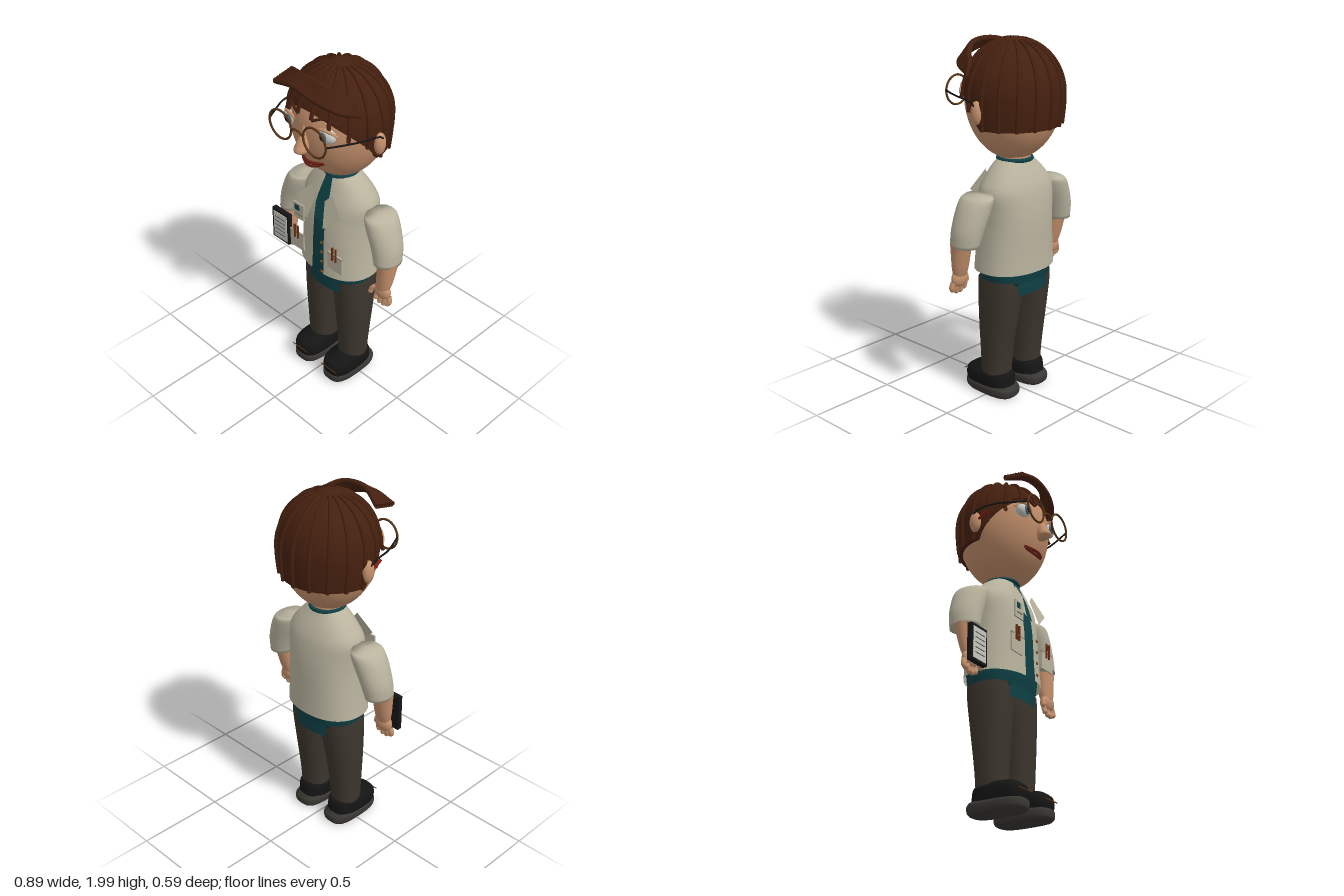
import * as THREE from 'three';
import { ParametricGeometry } from 'three/addons/geometries/ParametricGeometry.js';

const mats = {};
function mat(color) {
  return (mats[color] ??= new THREE.MeshStandardMaterial({ color, side: THREE.DoubleSide }));
}
const SKIN = 0xc4906c, HAIR = 0x45200f, COAT = 0xb9b39e, TEAL = 0x0f4146, PANTS = 0x3b352c,
  BLACK = 0x151515, SOLE = 0x3a3834, BROWN = 0x5a3516, LIP = 0x6b2018, PAPER = 0xc8c8c0;

export function createModel() {
  const model = new THREE.Group();
  const add = (name, geo, color, x = 0, y = 0, z = 0, parent = model) => {
    const m = new THREE.Mesh(geo, mat(color));
    m.name = name;
    m.position.set(x, y, z);
    parent.add(m);
    return m;
  };
  const box = (name, w, h, d, color, x, y, z) => add(name, new THREE.BoxGeometry(w, h, d), color, x, y, z);
  const ball = (name, rx, ry, rz, color, x, y, z) => {
    const m = add(name, new THREE.SphereGeometry(1, 24, 16), color, x, y, z);
    m.scale.set(rx, ry, rz);
    return m;
  };
  const tube = (name, pts, r, color, seg = 20) =>
    add(name, new THREE.TubeGeometry(new THREE.CatmullRomCurve3(pts.map(p => new THREE.Vector3(...p))), seg, r, 8), color);

  // Sections run from bottom to top: [x, y, z, radiusX, radiusZ]
  const loft = (name, sections, color, { power = 2, from = -Math.PI, to = Math.PI, caps = true } = {}) => {
    const curve = pts => new THREE.CatmullRomCurve3(pts, false, 'catmullrom', 0.5);
    const mid = curve(sections.map(s => new THREE.Vector3(s[0], s[1], s[2])));
    const rad = curve(sections.map(s => new THREE.Vector3(s[3], 0, s[4])));
    const rows = 22, round = c => Math.sign(c) * Math.abs(c) ** (2 / power);
    const c = new THREE.Vector3(), r = new THREE.Vector3();
    const geo = new ParametricGeometry((u, v, out) => {
      const row = v * rows;
      const t = caps ? THREE.MathUtils.clamp((row - 1) / (rows - 2), 0, 1) : v;
      const k = caps ? Math.max(0.01, Math.min(1, row, rows - row)) : 1;
      const a = from + (to - from) * u;
      mid.getPoint(t, c);
      rad.getPoint(t, r);
      out.set(c.x + k * r.x * round(Math.sin(a)), c.y, c.z + k * r.z * round(Math.cos(a)));
    }, 40, rows);
    return add(name, geo, color);
  };

  // Head: an egg with a longer lower half
  const headGeo = new THREE.SphereGeometry(1, 40, 32);
  const p = headGeo.attributes.position;
  for (let i = 0; i < p.count; i++) {
    const y = p.getY(i);
    p.setXYZ(i, p.getX(i) * 0.268, y * (y > 0 ? 0.28 : 0.35), p.getZ(i) * 0.257);
  }
  headGeo.computeVertexNormals();
  add('head', headGeo, SKIN, 0, 1.7, -0.03);
  add('neck', new THREE.CylinderGeometry(0.085, 0.09, 0.14, 24), SKIN, 0, 1.35, -0.04);
  const collar = add('shirtCollar', new THREE.TorusGeometry(0.09, 0.012, 8, 32), TEAL, 0, 1.355, -0.04);
  collar.rotation.x = Math.PI / 2;

  // Hair: cap cut high over the face and low at the back, with radiating strands
  const hairPoint = (a, t, lift, out) => {
    const edge = 1.54 + 0.27 * Math.max(0, Math.cos(a)) ** 0.85 - 1.7;
    const end = Math.acos(edge / (edge > 0 ? 0.29 : 0.55));
    const th = end * t, cy = Math.cos(th), r = (0.273 + lift) * Math.sin(th);
    return out.set(r * Math.sin(a), 1.7 + cy * ((cy > 0 ? 0.288 : 0.55) + lift), -0.03 + 0.955 * r * Math.cos(a));
  };
  add('hairCap', new ParametricGeometry((u, v, out) => {
    const a = (u * 2 - 1) * Math.PI, t = 1 - v;
    hairPoint(a, Math.min(1, 0.005 + t * 1.04), 0, out);
    if (t > 0.975) { out.x *= 0.92; out.z = -0.03 + (out.z + 0.03) * 0.92; }
  }, 60, 30), HAIR);
  for (let i = 0; i < 17; i++) {
    const a = ((i + 0.5) / 17) * Math.PI * 2, pts = [];
    for (let j = 0; j <= 8; j++) {
      const t = 0.13 + 0.87 * j / 8;
      pts.push(hairPoint(a + 0.12 * (1 - t), t, 0.003, new THREE.Vector3()).toArray());
    }
    if (Math.cos(a) > 0.3) { // loose tips over the forehead
      const e = pts[8];
      pts.push([e[0] * 1.02, e[1] - 0.03 - 0.02 * (i % 2), e[2] + 0.008]);
    }
    tube('hairStrand', pts, 0.011, HAIR, 28);
  }
  add('crown', new THREE.SphereGeometry(0.066, 24, 8), HAIR, 0, 1.98, -0.03).scale.y = 0.3;

  // Swept forelock
  for (let i = 0; i < 7; i++) {
    const k = i / 6;
    tube('forelock', [
      [0.235 - 0.02 * k, 1.82 + 0.05 * k, 0.07 + 0.01 * k],
      [0.2 - 0.03 * k, 1.86 + 0.06 * k, 0.17 - 0.04 * k],
      [0.09, 1.9 + 0.06 * k, 0.225 - 0.05 * k],
      [-0.06, 1.93 + 0.035 * k, 0.235 - 0.06 * k],
      [-0.2, 1.9 + 0.02 * k, 0.225 - 0.11 * k],
    ], 0.016, HAIR, 28);
  }

  // Nose and mouth
  loft('nose', [[0, 1.575, 0.235, 0.022, 0.03], [0, 1.595, 0.245, 0.037, 0.042], [0, 1.63, 0.235, 0.031, 0.036],
    [0, 1.68, 0.22, 0.018, 0.024], [0, 1.73, 0.212, 0.012, 0.015]], SKIN);
  tube('upperLip', [[-0.085, 1.515, 0.165], [-0.04, 1.505, 0.19], [0, 1.503, 0.198], [0.04, 1.505, 0.19], [0.085, 1.515, 0.165]], 0.008, LIP);
  tube('lowerLip', [[-0.08, 1.51, 0.165], [-0.04, 1.487, 0.188], [0, 1.48, 0.196], [0.04, 1.487, 0.188], [0.08, 1.51, 0.165]], 0.008, LIP);

  for (const s of [-1, 1]) {
    // Face
    ball('ear', 0.028, 0.062, 0.034, SKIN, s * 0.28, 1.635, -0.03);
    ball('eye', 0.055, 0.042, 0.034, 0xc9c9c4, s * 0.128, 1.708, 0.186);
    ball('iris', 0.026, 0.026, 0.012, 0x4a6672, s * 0.126, 1.708, 0.213);
    ball('pupil', 0.014, 0.014, 0.008, 0x101010, s * 0.126, 1.708, 0.222);
    tube('eyelid', [[s * 0.07, 1.712, 0.207], [s * 0.1, 1.742, 0.213], [s * 0.15, 1.744, 0.203], [s * 0.188, 1.715, 0.172]], 0.008, SKIN);
    tube('eyebrow', [[s * 0.05, 1.77, 0.217], [s * 0.11, 1.797, 0.198], [s * 0.185, 1.77, 0.15]], 0.007, HAIR);

    // Glasses
    add('glassesRim', new THREE.TorusGeometry(0.08, 0.006, 8, 40), BROWN, s * 0.123, 1.7, 0.27);
    tube('glassesArm', [[s * 0.203, 1.705, 0.268], [s * 0.245, 1.705, 0.19], [s * 0.285, 1.705, 0.1], [s * 0.3, 1.69, -0.01], [s * 0.295, 1.65, -0.05]], 0.005, BLACK);

    // Arm
    loft('sleeve', [[s * 0.37, 0.94, -0.022, 0.07, 0.085], [s * 0.352, 1.03, -0.03, 0.082, 0.093],
      [s * 0.315, 1.13, -0.036, 0.086, 0.1], [s * 0.292, 1.185, -0.04, 0.077, 0.098], [s * 0.28, 1.205, -0.04, 0.06, 0.08]], COAT);
    loft('forearm', [[s * 0.373, 0.775, 0.013, 0.042, 0.032], [s * 0.377, 0.83, 0.005, 0.05, 0.042], [s * 0.383, 0.95, -0.01, 0.058, 0.058]], SKIN);
    ball('palm', 0.055, 0.05, 0.032, SKIN, s * 0.373, 0.755, 0.015);
    for (let i = 0; i < 4; i++) {
      const x = 0.335 + 0.028 * i, drop = 0.675 + 0.012 * (Math.abs(i - 1.4) > 1 ? 1 : 0);
      tube('finger', [[s * x, 0.74, 0.015], [s * (x + 0.003 * i), 0.705, 0.02], [s * x, drop + 0.008, 0.024]], 0.015, SKIN, 8);
      ball('fingertip', 0.015, 0.015, 0.015, SKIN, s * x, drop + 0.008, 0.024);
    }
    tube('thumb', [[s * 0.34, 0.765, 0.02], [s * 0.315, 0.755, 0.03], [s * 0.303, 0.725, 0.035]], 0.014, SKIN, 8);
    ball('thumbTip', 0.014, 0.014, 0.014, SKIN, s * 0.303, 0.725, 0.035);

    // Leg and shoe
    loft('trouserLeg', [[s * 0.122, 0.12, -0.015, 0.08, 0.08], [s * 0.122, 0.25, -0.018, 0.085, 0.088],
      [s * 0.118, 0.45, -0.026, 0.097, 0.108], [s * 0.112, 0.62, -0.035, 0.107, 0.124], [s * 0.112, 0.7, -0.038, 0.105, 0.126]], PANTS, { power: 2.3 });
    const shoe = { power: 3 };
    loft('sole', [[s * 0.12, 0.005, 0.018, 0.078, 0.155], [s * 0.12, 0.02, 0.018, 0.088, 0.166],
      [s * 0.12, 0.05, 0.018, 0.09, 0.168], [s * 0.12, 0.068, 0.018, 0.08, 0.158]], SOLE, shoe);
    loft('shoeUpper', [[s * 0.12, 0.06, 0.03, 0.085, 0.15], [s * 0.12, 0.095, 0.034, 0.088, 0.15],
      [s * 0.12, 0.13, 0.032, 0.086, 0.142], [s * 0.12, 0.152, 0.028, 0.072, 0.118]], BLACK, shoe);
    box('shoeStitch', 0.12, 0.004, 0.004, BROWN, s * 0.12, 0.105, 0.185);

    // Lapel lying on the sloped chest
    const lapel = new THREE.Shape([[0.08, 1.28], [0.035, 1.23], [0.062, 1.085], [0.168, 1.18]].map(q => new THREE.Vector2(s * q[0], q[1])));
    const lapelGeo = new THREE.ShapeGeometry(lapel), lp = lapelGeo.attributes.position;
    for (let i = 0; i < lp.count; i++) lp.setZ(i, 0.105 + (1.28 - lp.getY(i)) * 0.3);
    lapelGeo.computeVertexNormals();
    add('lapel', lapelGeo, COAT);

    // Hip pocket with pens
    box('pocket', 0.106, 0.108, 0.008, COAT, s * 0.148, 0.895, 0.155);
    box('pocketFlap', 0.11, 0.008, 0.01, 0x99937f, s * 0.148, 0.945, 0.156);
    for (const dx of [-0.012, 0.012])
      add('pen', new THREE.CylinderGeometry(0.006, 0.006, 0.085, 8), 0x6a2c14, s * 0.148 + dx, 0.955, 0.163);
  }
  tube('glassesBridge', [[-0.045, 1.7, 0.27], [-0.02, 1.718, 0.275], [0, 1.722, 0.277], [0.02, 1.718, 0.275], [0.045, 1.7, 0.27]], 0.006, BROWN);
  add('earPencil', new THREE.CylinderGeometry(0.008, 0.008, 0.1, 8), 0x8a1c12, -0.287, 1.65, 0.01).rotation.x = 1;

  // Shirt, with rounded tails at front and back
  loft('shirt', [[0, 0.68, -0.04, 0.202, 0.15], [0, 0.78, -0.04, 0.218, 0.165], [0, 1.0, -0.04, 0.21, 0.166],
    [0, 1.18, -0.043, 0.21, 0.142], [0, 1.28, -0.042, 0.16, 0.108], [0, 1.35, -0.04, 0.09, 0.075]], TEAL, { power: 2.3 });
  for (const mid of [0, Math.PI])
    loft('shirtTail', [[0, 0.625, -0.04, 0.2, 0.148], [0, 0.7, -0.04, 0.206, 0.153]], TEAL,
      { power: 2.3, from: mid - 0.55, to: mid + 0.55, caps: false });

  // Coat, open down the front
  loft('coat', [[0, 0.75, -0.035, 0.24, 0.182], [0, 0.86, -0.037, 0.23, 0.178], [0, 1.0, -0.04, 0.222, 0.176],
    [0, 1.1, -0.043, 0.224, 0.168], [0, 1.2, -0.045, 0.23, 0.15], [0, 1.27, -0.044, 0.19, 0.124],
    [0, 1.325, -0.04, 0.138, 0.098], [0, 1.355, -0.04, 0.1, 0.083]], COAT,
  { power: 2.25, from: 0.15, to: Math.PI * 2 - 0.15, caps: false });
  const tie = new THREE.Shape([[-0.024, 1.345], [0.024, 1.345], [0.046, 1.19], [0.03, 1.1], [-0.03, 1.1], [-0.046, 1.19]].map(q => new THREE.Vector2(...q)));
  const tieGeo = new THREE.ShapeGeometry(tie), tp = tieGeo.attributes.position;
  for (let i = 0; i < tp.count; i++) tp.setZ(i, 0.05 + (1.345 - tp.getY(i)) * 0.36);
  tieGeo.computeVertexNormals();
  add('tie', tieGeo, TEAL);
  for (const y of [0.78, 0.85, 0.915, 0.98]) ball('button', 0.009, 0.009, 0.005, 0x8a5420, 0.045, y, 0.158);

  // Breast badge
  box('badge', 0.078, 0.1, 0.008, COAT, -0.128, 1.1, 0.156);
  box('badgePhoto', 0.032, 0.032, 0.004, TEAL, -0.138, 1.122, 0.162);
  box('badgeLine', 0.05, 0.005, 0.004, 0x77725f, -0.128, 1.08, 0.162);

  // Notepad held in the right hand
  box('notepadCover', 0.135, 0.205, 0.028, BLACK, -0.377, 0.822, 0.064);
  box('notepadPaper', 0.108, 0.175, 0.006, PAPER, -0.377, 0.82, 0.079);
  for (let i = 0; i < 5; i++) box('notepadRule', 0.08, 0.004, 0.003, 0x555555, -0.377, 0.765 + 0.028 * i, 0.083);

  return model;
}
